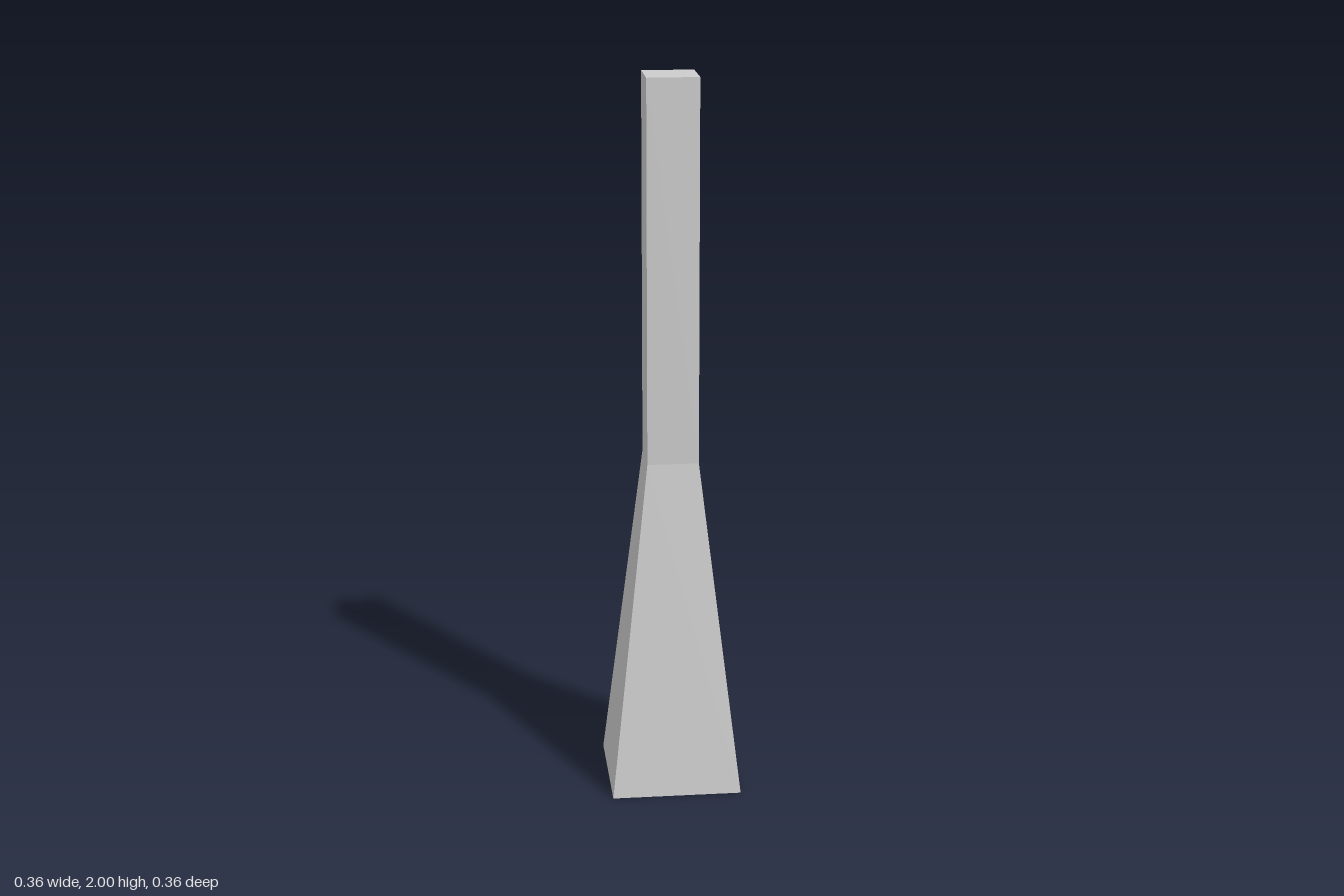
import * as THREE from 'three';

const material = new THREE.MeshStandardMaterial({ color: 0xcccccc, flatShading: true });

// Square-section part from [halfWidth, y] pairs, listed bottom to top
function squarePart(name, profile) {
  const points = profile.map(([half, y]) => new THREE.Vector2(half * Math.SQRT2, y));
  const mesh = new THREE.Mesh(new THREE.LatheGeometry(points, 4, Math.PI / 4), material);
  mesh.name = name;
  return mesh;
}

export function createModel() {
  const group = new THREE.Group();
  group.name = 'taperedPillar';

  const baseHalf = 0.18, shaftHalf = 0.071, shoulderY = 0.943, topY = 2;

  // Flared base, closed underneath
  group.add(squarePart('flaredBase', [[0, 0], [baseHalf, 0], [shaftHalf, shoulderY]]));

  // Straight shaft, closed on top
  group.add(squarePart('shaft', [[shaftHalf, shoulderY], [shaftHalf, topY], [0, topY]]));

  return group;
}
